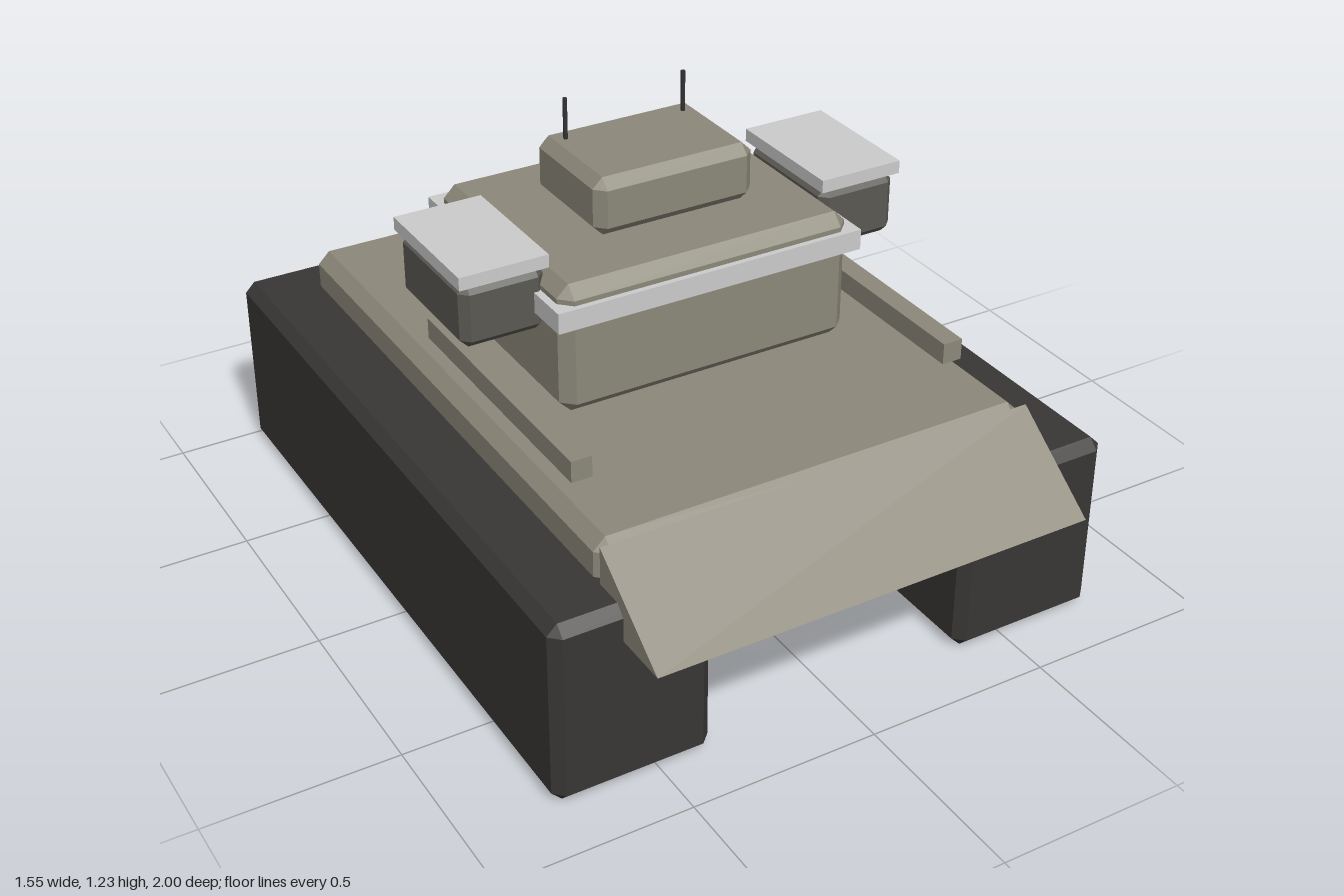
import * as THREE from 'three';
import { ConvexGeometry } from 'three/addons/geometries/ConvexGeometry.js';

const paint = (color) => new THREE.MeshStandardMaterial({ color });

// Box with every edge and corner cut flat by c
function chamferBox(w, h, d, c) {
  const points = [];
  for (const x of [-w / 2, w / 2])
    for (const y of [-h / 2, h / 2])
      for (const z of [-d / 2, d / 2]) {
        const ix = x - Math.sign(x) * c, iy = y - Math.sign(y) * c, iz = z - Math.sign(z) * c;
        points.push(
          new THREE.Vector3(x, iy, iz),
          new THREE.Vector3(ix, y, iz),
          new THREE.Vector3(ix, iy, z)
        );
      }
  return new ConvexGeometry(points);
}

export function createModel() {
  const model = new THREE.Group();
  const body = paint(0x8c887a), tread = paint(0x383735), rust = paint(0x804f38);
  const podDark = paint(0x5a5953), light = paint(0xcccccc), wire = paint(0x333333);

  const add = (name, geometry, material, x = 0, y = 0, z = 0) => {
    const mesh = new THREE.Mesh(geometry, material);
    mesh.name = name;
    mesh.position.set(x, y, z);
    model.add(mesh);
  };

  // Block given by its extents on each axis; c > 0 chamfers it
  const block = (name, material, [x0, x1], [y0, y1], [z0, z1], c = 0) => {
    const w = x1 - x0, h = y1 - y0, d = z1 - z0;
    const geometry = c ? chamferBox(w, h, d, c) : new THREE.BoxGeometry(w, h, d);
    add(name, geometry, material, (x0 + x1) / 2, (y0 + y1) / 2, (z0 + z1) / 2);
  };

  // Hull and deck
  block('lowerHull', rust, [-0.36, 0.36], [0.175, 0.5], [-0.87, 0.725], 0.022);
  block('deck', body, [-0.595, 0.595], [0.41, 0.6], [-0.89, 0.745], 0.032);

  // Sloped front plate: triangular section swept across the width
  const section = new THREE.Shape([
    new THREE.Vector2(0.745, 0.41),
    new THREE.Vector2(1, 0.41),
    new THREE.Vector2(0.745, 0.6),
  ]);
  const wedge = new THREE.ExtrudeGeometry(section, { depth: 1.19, bevelEnabled: false });
  wedge.translate(0, 0, -0.595).rotateY(-Math.PI / 2);
  add('frontPlate', wedge, body);

  // Turret, belt and cupola
  block('turret', body, [-0.41, 0.41], [0.6, 0.95], [-0.44, 0.24], 0.032);
  block('turretBelt', light, [-0.43, 0.43], [0.85, 0.905], [-0.46, 0.255]);
  block('cupola', body, [-0.225, 0.225], [0.965, 1.12], [-0.25, 0.08], 0.027);

  // Paired parts on both sides
  for (const [side, s] of [['left', 1], ['right', -1]]) {
    const span = (a, b) => (s > 0 ? [a, b] : [-b, -a]);
    block(side + 'Track', tread, span(0.357, 0.773), [0, 0.5], [-1, 0.85], 0.027);
    block(side + 'Pod', podDark, span(0.395, 0.62), [0.795, 0.965], [-0.217, 0.132], 0.022);
    block(side + 'PodCap', light, span(0.39, 0.627), [0.965, 1.0], [-0.227, 0.137]);
    block(side + 'Rail', body, span(0.497, 0.552), [0.635, 0.692], [-0.23, 0.535]);
    add(side + 'Antenna', new THREE.CylinderGeometry(0.006, 0.006, 0.13, 8), wire,
      s * 0.17, 1.165, -0.185);
  }

  return model;
}
